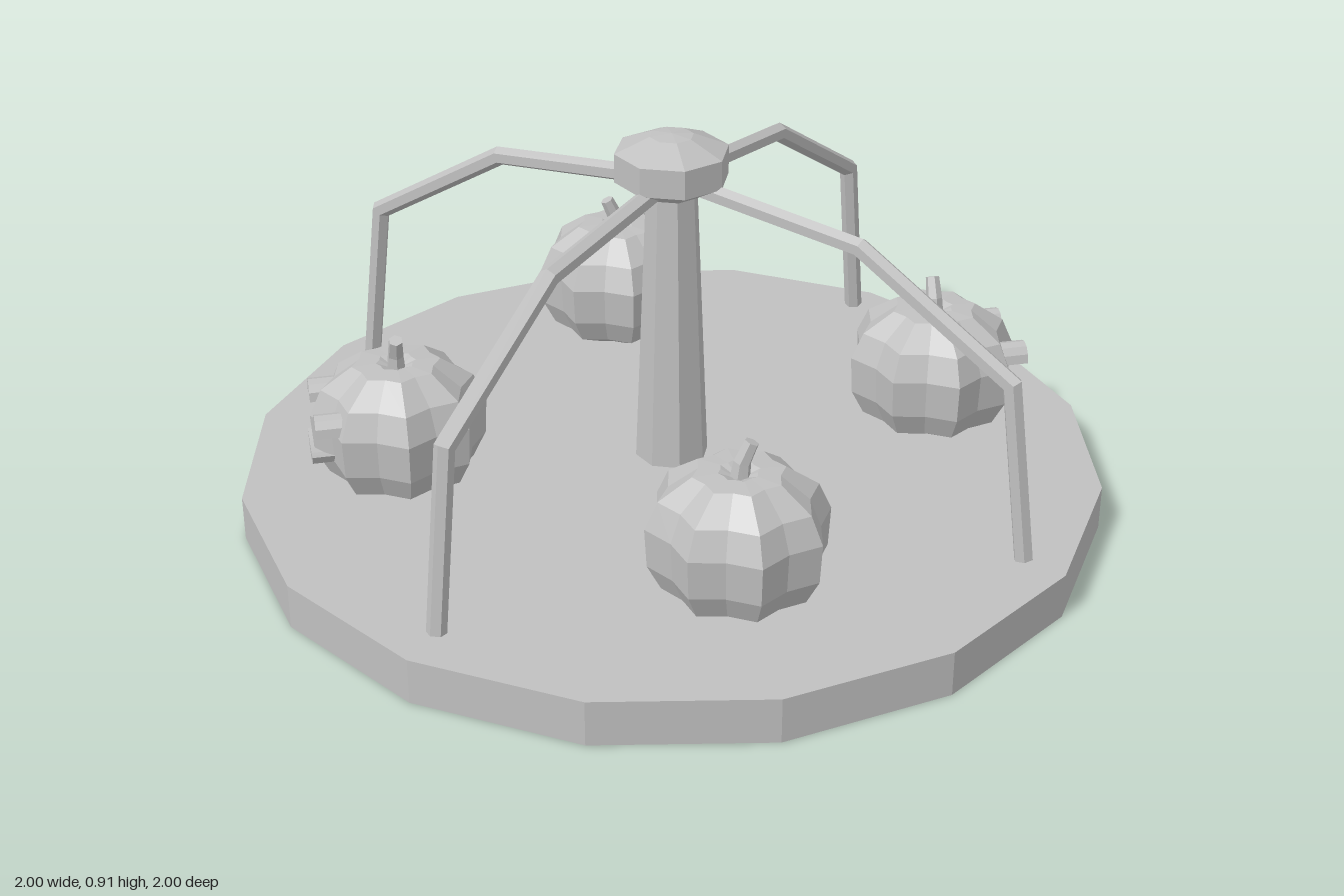
import * as THREE from 'three';

const stone = new THREE.MeshStandardMaterial({ color: 0xc0c0c0 });
stone.name = 'plain grey';

// Faceted mesh: every face gets its own flat normal
function part(name, geometry, parent) {
  const flat = geometry.index ? geometry.toNonIndexed() : geometry;
  flat.computeVertexNormals();
  const mesh = new THREE.Mesh(flat, stone);
  mesh.name = name;
  parent.add(mesh);
  return mesh;
}

const profile = (pts) => pts.map(([r, y]) => new THREE.Vector2(r, y));

// Mitred bar with closed ends along a path in the xy plane: points are [x, y, radius]
function bar(points, sides) {
  const P = points.map(([x, y]) => new THREE.Vector2(x, y));
  const position = [], index = [];
  P.forEach((p, i) => {
    const a = p.clone().sub(P[Math.max(i - 1, 0)]).normalize();
    const b = P[Math.min(i + 1, P.length - 1)].clone().sub(p).normalize();
    const t = a.clone().add(b).normalize();
    const miter = 1 / Math.max(t.dot(i ? a : b), 0.5);
    for (let s = 0; s < sides; s++) {
      const q = (s / sides) * Math.PI * 2, r = points[i][2];
      const n = Math.cos(q) * r * miter;
      position.push(p.x - t.y * n, p.y + t.x * n, Math.sin(q) * r);
    }
  });
  const last = (P.length - 1) * sides;
  for (let s = 0; s < sides; s++) {
    const s2 = (s + 1) % sides;
    for (let k = 0; k < last; k += sides) {
      index.push(k + s, k + s2, k + sides + s, k + s2, k + sides + s2, k + sides + s);
    }
    if (s > 0 && s < sides - 1) {
      index.push(0, s + 1, s, last, last + s, last + s + 1);
    }
  }
  const g = new THREE.BufferGeometry();
  g.setAttribute('position', new THREE.Float32BufferAttribute(position, 3));
  g.setIndex(index);
  return g;
}

// Crescent extruded towards +z; heights may be negative for a smile
function crescent(halfWidth, outer, inner, z0, z1) {
  const shape = new THREE.Shape();
  const n = 6;
  shape.moveTo(-halfWidth, 0);
  for (let i = 1; i <= n; i++) {
    const q = Math.PI * (1 - i / n);
    shape.lineTo(Math.cos(q) * halfWidth, Math.sin(q) * outer);
  }
  for (let i = 1; i < n; i++) {
    const q = (Math.PI * i) / n;
    shape.lineTo(Math.cos(q) * halfWidth * 0.8, Math.sin(q) * inner);
  }
  const g = new THREE.ExtrudeGeometry(shape, { depth: z1 - z0, bevelEnabled: false });
  return g.translate(0, 0, z0);
}

function pumpkin(withFace) {
  const group = new THREE.Group();
  group.name = 'pumpkin';

  // Ribbed body: every second column is drawn inwards
  const body = new THREE.LatheGeometry(profile([
    [0, 0.115], [0.09, 0.115], [0.165, 0.152], [0.195, 0.21], [0.2, 0.3],
    [0.172, 0.362], [0.1, 0.412], [0.045, 0.415], [0, 0.395],
  ]), 16);
  const pos = body.attributes.position;
  for (let i = 0; i < pos.count; i++) {
    const column = Math.round(Math.atan2(pos.getX(i), pos.getZ(i)) / (Math.PI / 8));
    if (column % 2 !== 0) {
      pos.setX(i, pos.getX(i) * 0.86);
      pos.setZ(i, pos.getZ(i) * 0.86);
    }
  }
  part('pumpkinBody', body, group);

  part('stem', bar([[0, 0.38, 0.024], [0.006, 0.435, 0.019], [0.026, 0.48, 0.016]], 6), group);

  if (withFace) {
    for (const side of [-1, 1]) {
      part('eye', crescent(0.034, 0.042, 0.016, 0.1, 0.195), group).position.set(side * 0.088, 0.304, 0);
    }
    part('mouth', crescent(0.07, -0.04, -0.012, 0.1, 0.204), group).position.y = 0.23;
  }
  return group;
}

export function createModel() {
  const model = new THREE.Group();
  model.name = 'pumpkinCarousel';

  // Round platform
  part('platform', new THREE.CylinderGeometry(1, 1, 0.105, 16), model).position.y = 0.0525;

  // Tapered central post and its cap
  part('post', new THREE.CylinderGeometry(0.058, 0.086, 0.7, 8), model).position.y = 0.45;
  part('cap', new THREE.LatheGeometry(profile([
    [0, 0.77], [0.07, 0.77], [0.13, 0.803], [0.13, 0.87], [0.05, 0.904], [0, 0.909],
  ]), 8), model);

  // Four bent arms on the diagonals
  const D = Math.SQRT2, r = 0.022;
  const path = [[0.03 * D, 0.797, r], [0.335 * D, 0.75, r], [0.597 * D, 0.525, r], [0.637 * D, 0.115, r]];
  for (let i = 0; i < 4; i++) {
    part('arm', bar(path, 6), model).rotation.y = Math.PI / 4 + (i * Math.PI) / 2;
  }

  // Four pumpkins facing outwards; the two at the sides carry faces
  for (let i = 0; i < 4; i++) {
    const turn = new THREE.Group();
    turn.name = 'pumpkinSeat';
    turn.rotation.y = (i * Math.PI) / 2;
    const p = pumpkin(i % 2 === 1);
    p.position.z = 0.633;
    turn.add(p);
    model.add(turn);
  }
  return model;
}
